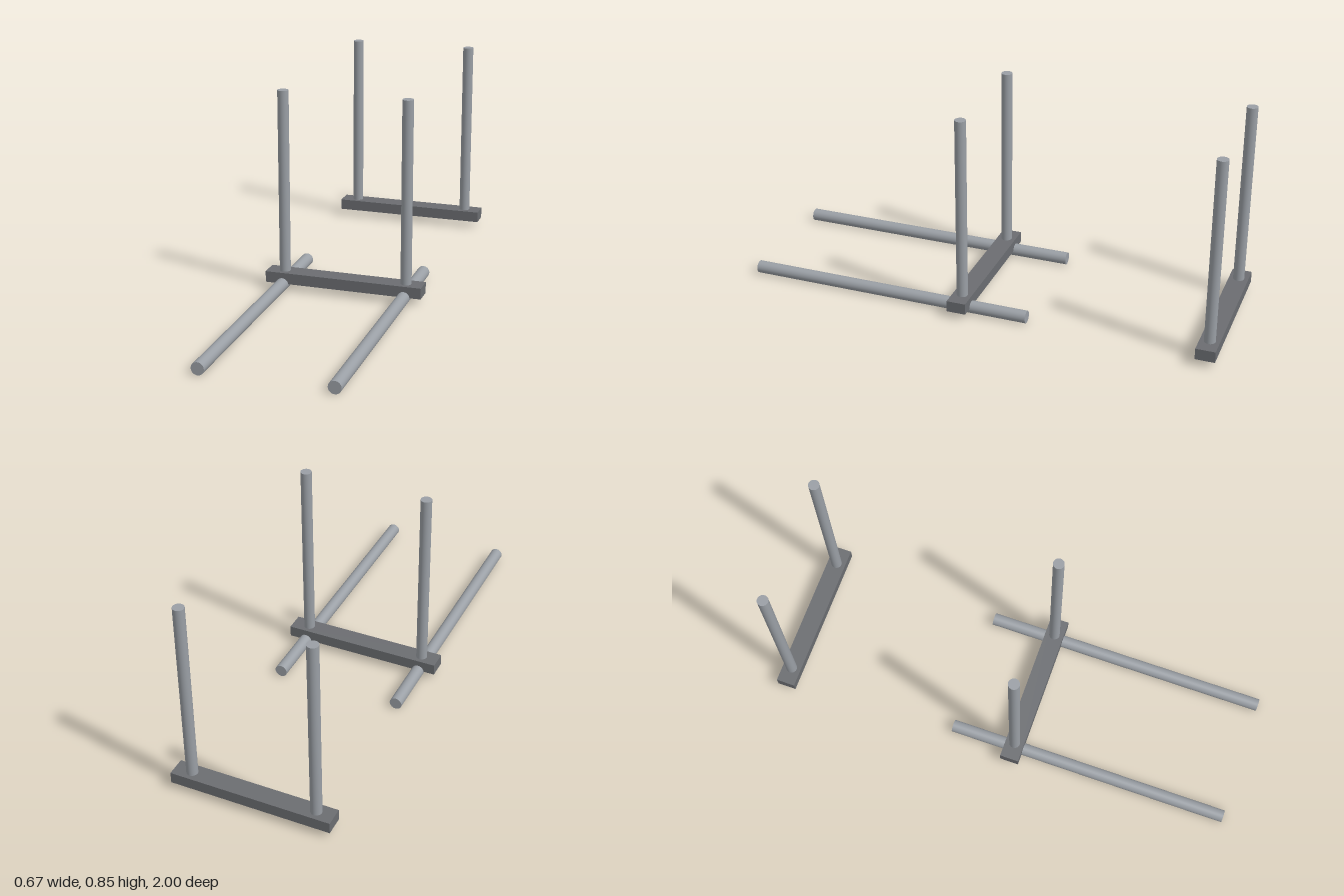
import * as THREE from 'three';

export function createModel() {
  const model = new THREE.Group();
  model.name = 'barFrames';

  const steel = new THREE.MeshStandardMaterial({ color: 0x9a9fa5 });
  steel.name = 'light steel';
  const darkSteel = new THREE.MeshStandardMaterial({ color: 0x6b6d71 });
  darkSteel.name = 'dark steel';

  const barX = 0.262;
  const beamBottom = 0.028, beamTop = 0.075, postTop = 0.848;
  const railBack = -0.212, railFront = 1;

  const beamGeometry = new THREE.BoxGeometry(0.67, beamTop - beamBottom, 0.08);
  const postGeometry = new THREE.CylinderGeometry(0.023, 0.023, postTop - beamBottom - 0.002, 32);
  const railGeometry = new THREE.CylinderGeometry(0.026, 0.026, railFront - railBack, 32);
  railGeometry.rotateX(Math.PI / 2);

  function add(parent, name, geometry, material, x, y, z) {
    const mesh = new THREE.Mesh(geometry, material);
    mesh.name = name;
    mesh.position.set(x, y, z);
    parent.add(mesh);
  }

  // Two matching frames: a flat cross beam carrying a pair of upright posts
  for (const [name, z] of [['middleFrame', 0.067], ['rearFrame', -0.96]]) {
    const frame = new THREE.Group();
    frame.name = name;
    frame.position.z = z;
    add(frame, 'crossBeam', beamGeometry, darkSteel, 0, (beamBottom + beamTop) / 2, 0);
    for (const side of [1, -1]) {
      add(frame, side > 0 ? 'leftPost' : 'rightPost', postGeometry, steel,
        side * barX, (postTop + beamBottom + 0.002) / 2, 0);
    }
    model.add(frame);
  }

  // Long round rails lying on the ground through the middle beam
  for (const side of [1, -1]) {
    add(model, side > 0 ? 'leftRail' : 'rightRail', railGeometry, steel,
      side * barX, 0.026, (railFront + railBack) / 2);
  }

  return model;
}
